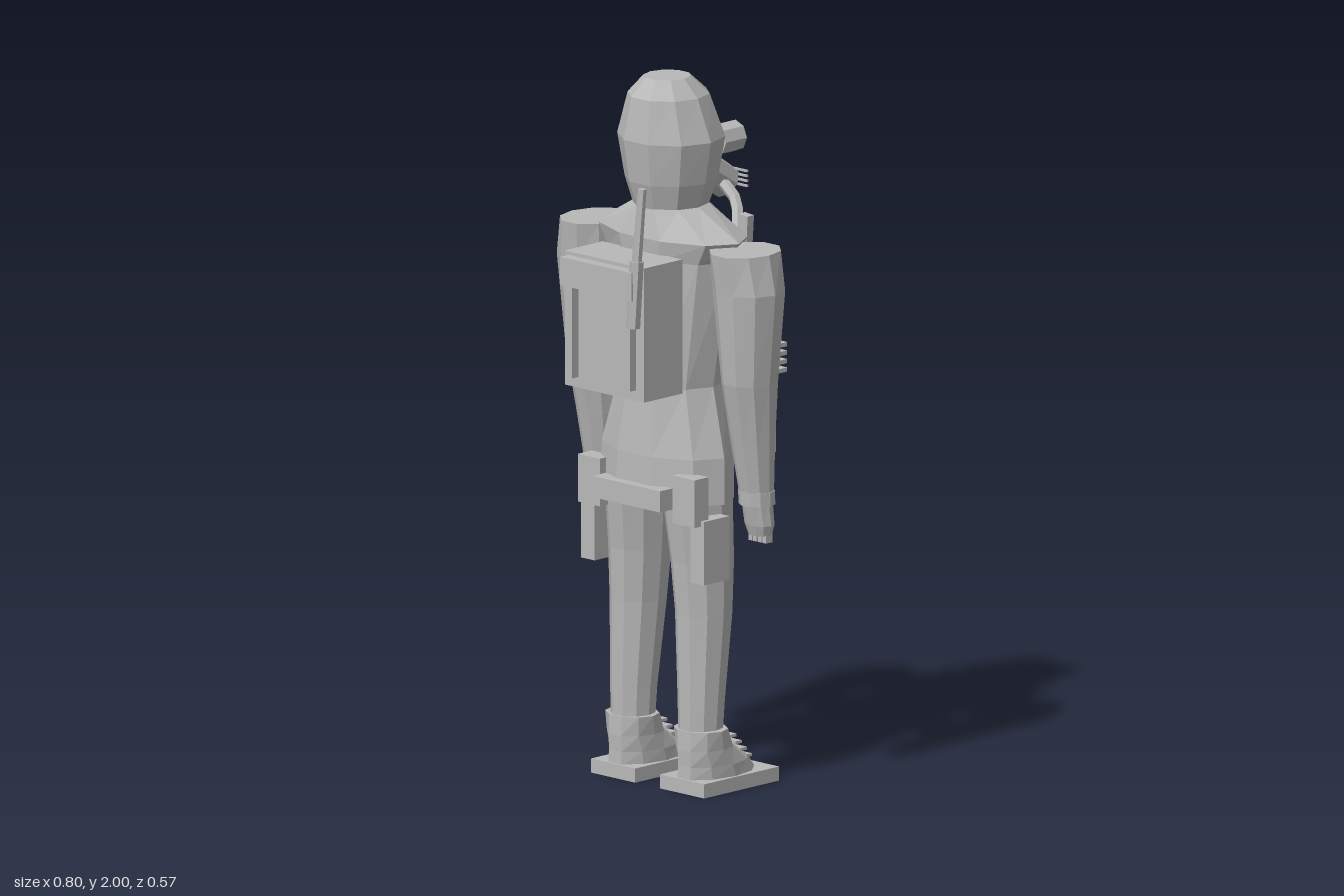
import * as THREE from 'three';

const cloth = new THREE.MeshStandardMaterial({ color: 0xb8b8b8, flatShading: true });
cloth.name = 'plain grey';

const SIDES = 10;

// Closed loft through elliptical rings [y, cx, cz, rx, rz], listed bottom to top
function loft(rings) {
  const pos = [], idx = [];
  const n = rings.length, top = n * SIDES + 1, bottom = n * SIDES;
  for (const [y, cx, cz, rx, rz] of rings) {
    for (let j = 0; j < SIDES; j++) {
      const a = (j / SIDES) * Math.PI * 2;
      pos.push(cx + Math.cos(a) * rx, y, cz + Math.sin(a) * rz);
    }
  }
  for (const r of [rings[0], rings[n - 1]]) pos.push(r[1], r[0], r[2]);
  for (let j = 0; j < SIDES; j++) {
    const k = (j + 1) % SIDES;
    for (let i = 0; i < n - 1; i++) {
      const p = i * SIDES, q = p + SIDES;
      idx.push(p + j, q + j, p + k, p + k, q + j, q + k);
    }
    idx.push(bottom, j, k, top, (n - 1) * SIDES + k, (n - 1) * SIDES + j);
  }
  const g = new THREE.BufferGeometry();
  g.setAttribute('position', new THREE.Float32BufferAttribute(pos, 3));
  g.setIndex(idx);
  g.computeVertexNormals();
  return g;
}

export function createModel() {
  const model = new THREE.Group();
  model.name = 'standingFigure';

  const add = (name, geometry) => {
    const m = new THREE.Mesh(geometry, cloth);
    m.name = name;
    model.add(m);
    return m;
  };
  // Box given by its limits on each axis
  const box = (name, x0, x1, y0, y1, z0, z1) => {
    const m = add(name, new THREE.BoxGeometry(Math.abs(x1 - x0), y1 - y0, Math.abs(z1 - z0)));
    m.position.set((x0 + x1) / 2, (y0 + y1) / 2, (z0 + z1) / 2);
    return m;
  };
  // Straight bar between two points; the geometry runs along y
  const between = (name, a, b, make) => {
    const p = new THREE.Vector3(...a), q = new THREE.Vector3(...b);
    const d = q.clone().sub(p);
    const m = add(name, make(d.length()));
    m.position.copy(p).add(q).multiplyScalar(0.5);
    m.quaternion.setFromUnitVectors(new THREE.Vector3(0, 1, 0), d.normalize());
    return m;
  };
  const rod = (r0, r1, sides) => (len) => new THREE.CylinderGeometry(r1, r0, len, sides);

  // Hooded head
  add('head', loft([
    [1.62, 0, -0.01, 0.1, 0.1],
    [1.71, 0, -0.013, 0.13, 0.13],
    [1.83, 0, -0.013, 0.153, 0.147],
    [1.95, 0, -0.003, 0.112, 0.118],
    [2.0, 0, 0.003, 0.065, 0.068],
  ]));

  // Jacket with flared skirt and sloping shoulders
  add('jacket', loft([
    [0.82, 0, 0.005, 0.222, 0.138],
    [0.95, 0, 0.0, 0.217, 0.138],
    [1.14, 0, -0.015, 0.16, 0.132],
    [1.5, 0, -0.02, 0.215, 0.135],
    [1.56, 0, -0.02, 0.255, 0.14],
    [1.64, 0, -0.01, 0.11, 0.105],
  ]));
  for (let i = 0; i < 4; i++) {
    const y = 1.26 - i * 0.087;
    between('button', [0, y, -0.13], [0, y, -0.15], rod(0.012, 0.012, 6));
  }
  box('backHipBag', -0.13, 0.13, 0.81, 0.87, 0.115, 0.165);

  // Goggles, mask, grille and hose
  for (const s of [-1, 1]) {
    between('goggle', [s * 0.063, 1.805, -0.12], [s * 0.063, 1.805, -0.202], rod(0.044, 0.044, 8));
  }
  box('goggleBridge', -0.03, 0.03, 1.795, 1.815, -0.165, -0.14);
  between('respirator', [0, 1.72, -0.13], [0, 1.66, -0.225], rod(0.052, 0.048, 8));
  for (let i = 0; i < 4; i++) {
    const y = 1.642 + i * 0.014;
    box('grilleBar', -0.032, 0.032, y - 0.003, y + 0.003, -0.284, -0.278);
  }
  const hosePath = new THREE.CatmullRomCurve3([
    new THREE.Vector3(0.02, 1.68, -0.18),
    new THREE.Vector3(0.09, 1.63, -0.175),
    new THREE.Vector3(0.14, 1.55, -0.13),
  ]);
  add('breathingHose', new THREE.TubeGeometry(hosePath, 5, 0.017, 6));

  for (const s of [-1, 1]) {
    // Arm, cuff, hand and fingers
    add('sleeve', loft([
      [0.86, s * 0.299, -0.043, 0.05, 0.047],
      [1.0, s * 0.298, -0.03, 0.063, 0.06],
      [1.18, s * 0.3, -0.015, 0.077, 0.082],
      [1.44, s * 0.3, -0.012, 0.102, 0.1],
      [1.55, s * 0.288, -0.01, 0.092, 0.11],
    ]));
    add('cuff', loft([
      [0.828, s * 0.299, -0.045, 0.053, 0.049],
      [0.868, s * 0.299, -0.043, 0.053, 0.049],
    ]));
    add('hand', loft([
      [0.74, s * 0.3, -0.056, 0.036, 0.028],
      [0.77, s * 0.3, -0.054, 0.046, 0.036],
      [0.84, s * 0.299, -0.045, 0.045, 0.042],
    ]));
    for (let i = 0; i < 4; i++) {
      const x = s * 0.3 + (i - 1.5) * 0.018;
      box('finger', x - 0.007, x + 0.007, 0.72, 0.75, -0.07, -0.045);
    }
    for (let i = 0; i < 4; i++) {
      const y = 1.205 + i * 0.024;
      box('sleeveStripe', s * 0.245, s * 0.35, y - 0.006, y + 0.006, -0.112, -0.075);
    }

    // Trouser leg
    add('leg', loft([
      [0.15, s * 0.13, 0.005, 0.06, 0.064],
      [0.25, s * 0.13, 0.002, 0.064, 0.068],
      [0.5, s * 0.126, -0.012, 0.077, 0.084],
      [0.65, s * 0.12, -0.012, 0.085, 0.094],
      [0.88, s * 0.108, 0, 0.095, 0.11],
    ]));

    // Boot with laces on a flat sole
    add('boot', loft([
      [0.035, s * 0.133, -0.055, 0.078, 0.135],
      [0.075, s * 0.133, -0.04, 0.078, 0.118],
      [0.12, s * 0.133, -0.008, 0.075, 0.086],
      [0.175, s * 0.132, 0.005, 0.08, 0.07],
    ]));
    box('sole', s * 0.048, s * 0.218, 0, 0.04, -0.215, 0.08);
    for (let i = 0; i < 4; i++) {
      const y = 0.075 + i * 0.022, z = -0.155 + i * 0.02;
      box('lace', s * 0.133 - 0.035, s * 0.133 + 0.035, y - 0.004, y + 0.004, z - 0.004, z + 0.02);
    }

    // Chest harness and pouches
    between('harnessStrap', [s * 0.12, 1.02, -0.145], [s * 0.17, 1.61, -0.135],
      (len) => new THREE.BoxGeometry(0.035, len, 0.025));
    box('chestPouch', s * 0.065, s * 0.203, 1.22, 1.38, -0.182, -0.12);
    box('chestPouchFlap', s * 0.055, s * 0.218, 1.37, 1.41, -0.212, -0.14);
    box('waistPouch', s * 0.105, s * 0.238, 0.94, 1.05, -0.182, -0.1);

    // Hip holster and thigh pouch
    box('hipHolster', s * 0.14, s * 0.225, 0.775, 0.91, 0.07, 0.125);
    box('thighPouch', s * 0.185, s * 0.237, 0.61, 0.79, 0, 0.1);
  }

  // Backpack with flap, straps and aerial
  box('backpack', -0.153, 0.153, 1.14, 1.52, 0.1, 0.25);
  box('backpackFlap', -0.138, 0.138, 1.43, 1.51, 0.25, 0.284);
  for (const s of [-1, 1]) {
    box('backpackStrap', s * 0.1, s * 0.122, 1.17, 1.44, 0.25, 0.275);
  }
  between('aerialBase', [0.125, 1.35, 0.265], [0.136, 1.54, 0.262], rod(0.02, 0.02, 6));
  between('aerial', [0.134, 1.5, 0.264], [0.148, 1.745, 0.252], rod(0.015, 0.012, 6));

  return model;
}
